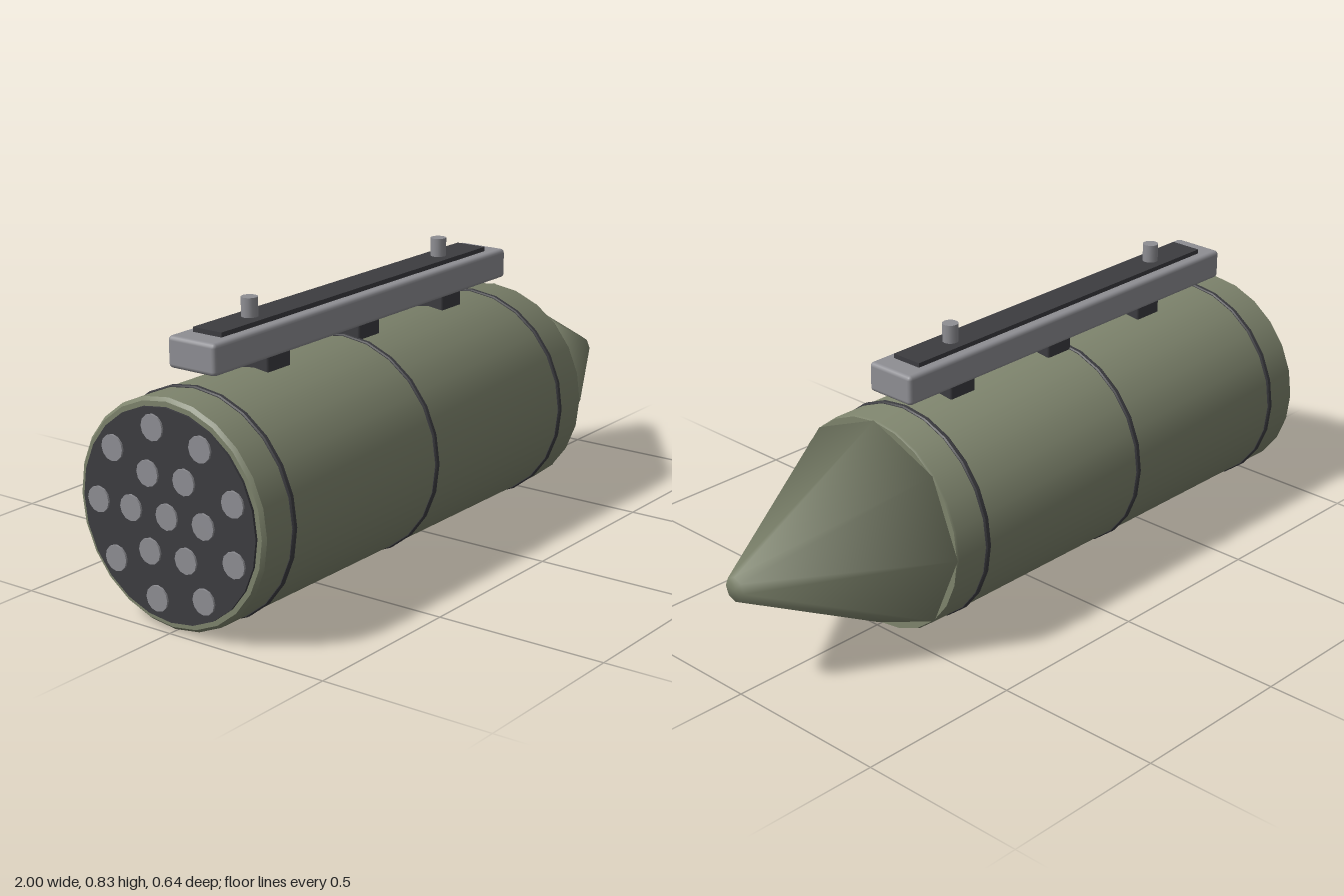
import * as THREE from 'three';
import { toCreasedNormals } from 'three/addons/utils/BufferGeometryUtils.js';
import { RoundedBoxGeometry } from 'three/addons/geometries/RoundedBoxGeometry.js';

const AXIS_Y = 0.318;
const R = 0.313;

const paint = (color) => new THREE.MeshStandardMaterial({ color });

export function createModel() {
  const olive = paint(0x7d836c);
  const dark = paint(0x3c3c40);
  const grey = paint(0x8e8e93);

  const model = new THREE.Group();
  model.name = 'rocketPod';

  function add(name, geometry, material, x, y, z = 0) {
    const mesh = new THREE.Mesh(geometry, material);
    mesh.name = name;
    mesh.position.set(x, y, z);
    model.add(mesh);
    return mesh;
  }

  // turns a profile of [radius, x] points around the pod's long axis
  function turned(points, sides) {
    const profile = points.map(([r, x]) => new THREE.Vector2(r, x));
    const geometry = new THREE.LatheGeometry(profile, sides).rotateZ(-Math.PI / 2);
    return toCreasedNormals(geometry, 0.6);
  }

  // cylindrical body with a fine bevel at both ends
  add('body', turned([
    [0, -0.987], [0.304, -0.987], [R, -0.977],
    [R, 0.486], [R - 0.003, 0.492], [0, 0.492],
  ], 24), olive, 0, AXIS_Y);

  // eight-sided nose, shaded smoothly over its rim and blunt tip
  const nose = new THREE.CylinderGeometry(0.036, R, 0.508, 8);
  const pos = nose.attributes.position;
  const normal = new THREE.Vector3();
  for (let i = 0; i < pos.count; i++) {
    const tip = pos.getY(i) > 0;
    normal.set(pos.getX(i), 0, pos.getZ(i)).normalize().multiplyScalar(tip ? 0.59 : 0.88);
    normal.y = tip ? 0.81 : -0.47;
    normal.normalize();
    nose.attributes.normal.setXYZ(i, normal.x, normal.y, normal.z);
  }
  add('noseCone', nose.rotateZ(-Math.PI / 2), olive, 0.746, AXIS_Y);

  // bands around the body
  for (const x of [-0.87, -0.25, 0.375]) {
    add('band', turned([
      [0.305, -0.009], [0.315, -0.009], [0.318, -0.005],
      [0.318, 0.005], [0.315, 0.009], [0.305, 0.009],
    ], 24), dark, x, AXIS_Y);
  }

  // rear plate with a centre tube, a ring of six and a ring of nine
  add('rearPlate', new THREE.CylinderGeometry(0.29, 0.29, 0.02, 24).rotateZ(Math.PI / 2),
    dark, -0.984, AXIS_Y);
  const tube = new THREE.CylinderGeometry(0.036, 0.036, 0.03, 12).rotateZ(Math.PI / 2);
  for (const [count, radius] of [[1, 0], [6, 0.122], [9, 0.235]]) {
    for (let i = 0; i < count; i++) {
      const a = (i / count) * Math.PI * 2;
      add('tube', tube, grey, -0.985,
        AXIS_Y + radius * Math.sin(a), -radius * Math.cos(a));
    }
  }

  // mounting rail on three pads
  for (const x of [-0.595, -0.2, 0.197]) {
    add('railPad', new RoundedBoxGeometry(0.096, 0.07, 0.096, 1, 0.006), dark, x, 0.645);
  }
  add('rail', new RoundedBoxGeometry(1.32, 0.086, 0.158, 2, 0.012), grey, -0.229, 0.717);
  add('railStrip', new THREE.BoxGeometry(1.19, 0.02, 0.096), dark, -0.229, 0.763);

  // suspension lugs
  for (const x of [-0.655, 0.197]) {
    add('lug', new THREE.CylinderGeometry(0.023, 0.023, 0.06, 12), grey, x, 0.796);
  }

  return model;
}
